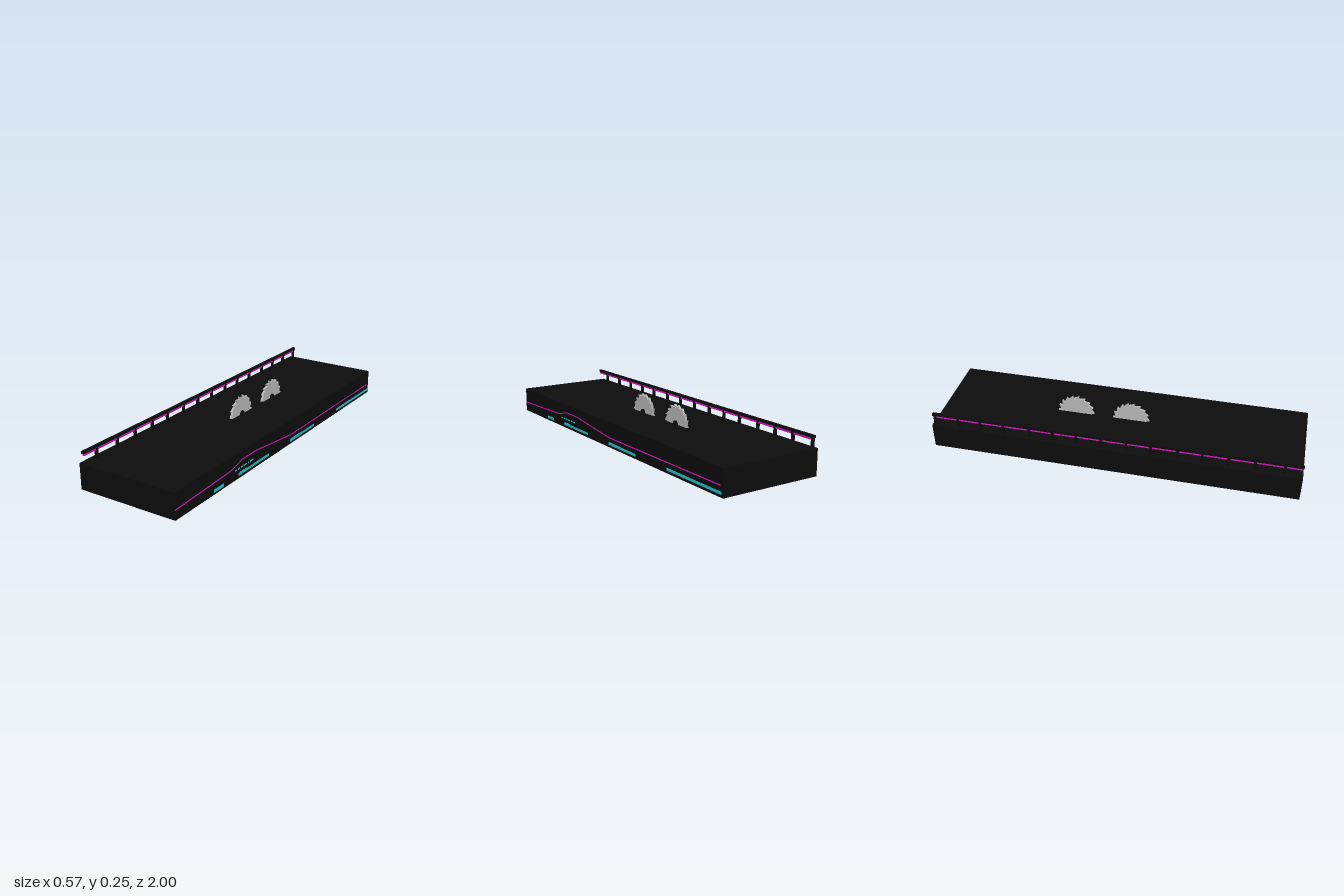
import * as THREE from 'three';

const mat = (color) => new THREE.MeshStandardMaterial({ color });

export function createModel() {
  const model = new THREE.Group();
  const black = mat(0x0c0c0c), magenta = mat(0xd414bc), cyan = mat(0x20c4c8), steel = mat(0xb4b4b4);

  function add(name, geometry, material, x = 0, y = 0, z = 0, parent = model) {
    const mesh = new THREE.Mesh(geometry, material);
    mesh.name = name;
    mesh.position.set(x, y, z);
    parent.add(mesh);
    return mesh;
  }
  const box = (name, m, w, h, d, x, y, z, parent) =>
    add(name, new THREE.BoxGeometry(w, h, d), m, x, y, z, parent);
  function group(name) {
    const g = new THREE.Group();
    g.name = name;
    model.add(g);
    return g;
  }

  // Platform slab
  box('platform', black, 0.568, 0.14, 2, 0, 0.07, 0);

  // Railing along the right edge, with a light strip beneath the top bar
  const railing = group('railing');
  const railX = -0.26;
  box('railBar', black, 0.014, 0.014, 2, railX, 0.199, 0, railing);
  box('railLight', magenta, 0.01, 0.011, 1.99, railX, 0.1865, 0, railing);
  const posts = [0.905, 0.755, 0.62, 0.483, 0.354, 0.212, 0.08, -0.055, -0.19,
    -0.32, -0.45, -0.597, -0.726, -0.854, -0.988];
  for (const z of posts) box('railPost', black, 0.012, 0.06, 0.014, railX, 0.168, z, railing);

  // Toothed saw blades, half sunk into the platform
  const teeth = 18, tip = 0.102, root = 0.087;
  const outline = [];
  for (let i = 0; i < teeth; i++) {
    const step = (Math.PI * 2) / teeth, a = i * step;
    for (const [t, r] of [[0, root], [0.55, root + 0.005], [1.02, tip]]) {
      outline.push(new THREE.Vector2(Math.cos(a + t * step) * r, Math.sin(a + t * step) * r));
    }
  }
  const bladeGeo = new THREE.ExtrudeGeometry(new THREE.Shape(outline), { depth: 0.013, bevelEnabled: false });
  bladeGeo.rotateY(Math.PI / 2);
  const hubGeo = new THREE.CylinderGeometry(0.018, 0.018, 0.012, 20).rotateZ(Math.PI / 2);
  for (const z of [0.05, -0.262]) {
    const saw = group('saw');
    saw.position.set(0.003, 0.145, z);
    add('sawBlade', bladeGeo, steel, 0, 0, 0, saw);
    add('sawHub', hubGeo, black, 0.014, -0.002, 0, saw);
  }

  // Bent light line on the left side: a band following [z, y] points
  const path = [[1, 0.053], [0.55, 0.068], [0.455, 0.092], [0.33, 0.092], [-0.02, 0.053], [-0.98, 0.057]];
  const half = 0.003;
  const band = [
    ...path.map(([z, y]) => new THREE.Vector2(-z, y - half)),
    ...path.slice().reverse().map(([z, y]) => new THREE.Vector2(-z, y + half)),
  ];
  const lineGeo = new THREE.ExtrudeGeometry(new THREE.Shape(band), { depth: 0.003, bevelEnabled: false });
  lineGeo.rotateY(Math.PI / 2);
  add('sideLightLine', lineGeo, magenta, 0.2825);

  // Light bars and dashes on the left side: [z start, z end, y, height]
  const bars = [
    [0.7, 0.62, 0.019, 0.016], [0.49, 0.205, 0.021, 0.013], [0.48, 0.415, 0.029, 0.006],
    [-0.02, -0.285, 0.02, 0.014], [-0.02, -0.14, 0.026, 0.006], [-0.565, -0.99, 0.021, 0.014],
    [0.52, 0.504, 0.053, 0.007], [0.495, 0.478, 0.053, 0.007], [0.468, 0.452, 0.053, 0.007],
    [0.444, 0.415, 0.053, 0.007], [0.405, 0.394, 0.053, 0.007], [0.385, 0.355, 0.054, 0.007],
  ];
  const lights = group('sideLights');
  for (const [a, b, y, h] of bars) box('lightBar', cyan, 0.003, h, a - b, 0.284, y, (a + b) / 2, lights);

  return model;
}
